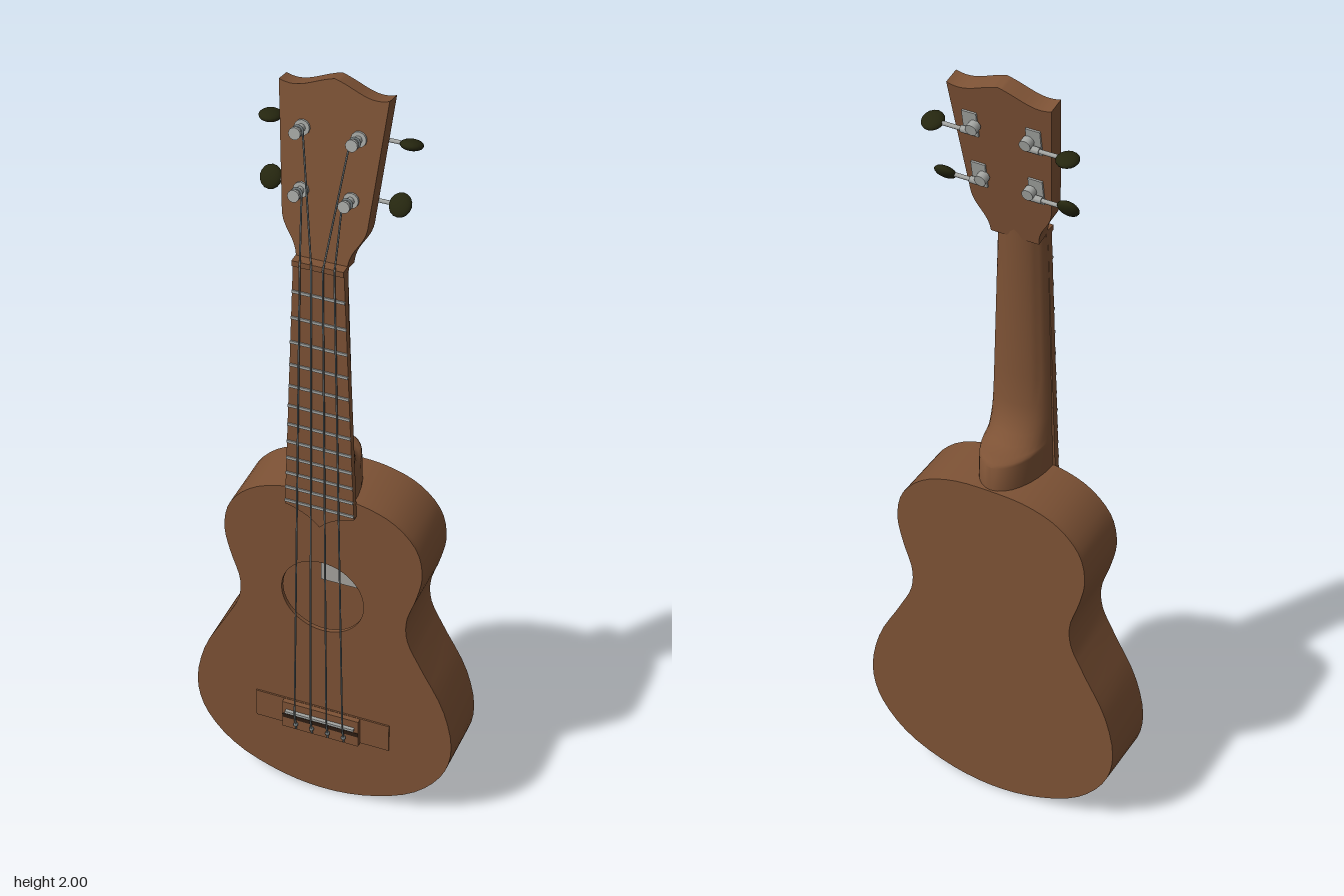
import * as THREE from 'three';
import { toCreasedNormals } from 'three/addons/utils/BufferGeometryUtils.js';

const material = (name, color) => {
  const m = new THREE.MeshStandardMaterial({ color });
  m.name = name;
  return m;
};
const V = (x, y, z) => new THREE.Vector3(x, y, z);

export function createModel() {
  const wood = material('wood', 0x7d5235);
  const metal = material('metal', 0xa3a5a2);
  const stringGrey = material('stringGrey', 0x70787a);
  const buttonBlack = material('buttonBlack', 0x25260f);
  const paper = material('paper', 0xa5a29d);
  const dark = material('darkSlot', 0x2c1c12);
  const root = new THREE.Group();
  root.name = 'ukulele';

  const add = (parent, name, geo, mat, x = 0, y = 0, z = 0) => {
    const mesh = new THREE.Mesh(geo, mat);
    mesh.name = name;
    mesh.position.set(x, y, z);
    parent.add(mesh);
    return mesh;
  };
  const box = (parent, name, w, h, d, mat, x, y, z) =>
    add(parent, name, new THREE.BoxGeometry(w, h, d), mat, x, y, z);
  const slab = (shape, depth) => toCreasedNormals(
    new THREE.ExtrudeGeometry(shape, { depth, bevelEnabled: false, curveSegments: 24 }), 0.6);
  // Straight rod between two points
  const rod = (parent, name, a, b, r, mat, sides = 6) => {
    const dir = b.clone().sub(a);
    const mesh = add(parent, name, new THREE.CylinderGeometry(r, r, dir.length(), sides), mat);
    mesh.position.copy(a).add(b).multiplyScalar(0.5);
    mesh.quaternion.setFromUnitVectors(V(0, 1, 0), dir.normalize());
    return mesh;
  };

  // Hollow body: half outline mirrored into a closed curve
  const half = [[0.12, 0.02], [0.24, 0.075], [0.313, 0.16], [0.335, 0.25], [0.312, 0.37],
    [0.25, 0.49], [0.217, 0.56], [0.213, 0.62], [0.237, 0.70], [0.25, 0.77],
    [0.235, 0.845], [0.18, 0.905], [0.1, 0.936]];
  const outline = [[0, 0.003], ...half, [0, 0.943], ...half.slice().reverse().map(([x, y]) => [-x, y])];
  const rim = new THREE.CatmullRomCurve3(outline.map(([x, y]) => V(x, y, 0)), true)
    .getPoints(96).slice(0, -1).map(p => new THREE.Vector2(p.x, p.y));
  const inner = rim.map(p => new THREE.Vector2(p.x * 0.96, 0.47 + (p.y - 0.47) * 0.97));
  const sideShape = new THREE.Shape(rim);
  sideShape.holes.push(new THREE.Path(inner));
  const topShape = new THREE.Shape(rim);
  topShape.holes.push(new THREE.Path().absarc(0, 0.63, 0.105, 0, Math.PI * 2, true));
  add(root, 'bodySides', slab(sideShape, 0.142), wood, 0, 0, -0.087);
  add(root, 'soundboard', slab(topShape, 0.01), wood, 0, 0, 0.055);
  add(root, 'bodyBack', slab(new THREE.Shape(rim), 0.01), wood, 0, 0, -0.097);
  box(root, 'paperLabel', 0.13, 0.1, 0.004, paper, 0, 0.6, -0.085);

  // Neck and heel, lofted through D-shaped sections: y, half width, front z, back z
  const sections = [[0.92, 0.08, 0.064, -0.092], [1.008, 0.077, 0.064, -0.092],
    [1.014, 0.077, 0.064, -0.085], [1.018, 0.077, 0.064, -0.06], [1.03, 0.076, 0.064, -0.03],
    [1.05, 0.076, 0.064, -0.007], [1.08, 0.075, 0.064, 0.01], [1.12, 0.074, 0.064, 0.018],
    [1.2, 0.072, 0.065, 0.02], [1.58, 0.06, 0.065, 0.02], [1.61, 0.058, 0.059, 0.017],
    [1.65, 0.058, 0.05, 0.014]];
  const N = 16;
  const pos = [], index = [];
  for (const [y, w, front, back] of sections) {
    for (let i = 0; i <= N; i++) {
      const t = Math.PI * i / N;
      pos.push(w * Math.cos(t), y, front - (front - back) * Math.sin(t));
    }
  }
  for (let s = 0; s < sections.length - 1; s++) {
    for (let i = 0; i <= N; i++) {
      const a = s * (N + 1) + i, b = s * (N + 1) + (i + 1) % (N + 1);
      const c = b + N + 1, d = a + N + 1;
      index.push(a, b, c, a, c, d);
    }
  }
  const neckGeo = new THREE.BufferGeometry();
  neckGeo.setAttribute('position', new THREE.Float32BufferAttribute(pos, 3));
  neckGeo.setIndex(index);
  add(root, 'neck', toCreasedNormals(neckGeo, 0.9), wood);

  // Fretboard with an ogee end
  const board = new THREE.Shape();
  board.moveTo(0.06, 1.578);
  board.lineTo(-0.06, 1.578);
  board.lineTo(-0.086, 0.902);
  board.quadraticCurveTo(-0.03, 0.89, 0, 0.855);
  board.quadraticCurveTo(0.03, 0.89, 0.086, 0.902);
  add(root, 'fretboard', slab(board, 0.018), wood, 0, 0, 0.064);
  box(root, 'nut', 0.122, 0.014, 0.032, wood, 0, 1.58, 0.072);
  for (let n = 1; n <= 12; n++) {
    const y = 1.578 - 1.33 * (1 - 2 ** (-n / 12));
    box(root, 'fret', 2 * (0.06 + (1.578 - y) * 0.0385), 0.007, 0.004, metal, 0, y, 0.083);
  }

  // Bridge
  box(root, 'bridgeWings', 0.35, 0.08, 0.004, wood, 0, 0.236, 0.067);
  box(root, 'bridgeBlock', 0.2, 0.08, 0.018, wood, 0, 0.235, 0.073);
  box(root, 'bridgeSlot', 0.2, 0.012, 0.002, dark, 0, 0.232, 0.0822);
  box(root, 'saddle', 0.18, 0.007, 0.012, metal, 0, 0.25, 0.085);

  // Headstock, tilted backwards
  const head = new THREE.Group();
  head.name = 'headstock';
  head.position.set(0, 1.58, 0.065);
  head.rotation.x = -0.18;
  root.add(head);
  const hs = new THREE.Shape();
  hs.moveTo(-0.06, 0);
  hs.lineTo(0.06, 0);
  hs.bezierCurveTo(0.062, 0.05, 0.095, 0.06, 0.1, 0.105);
  hs.lineTo(0.126, 0.402);
  hs.bezierCurveTo(0.08, 0.385, 0.05, 0.415, 0, 0.427);
  hs.bezierCurveTo(-0.05, 0.415, -0.08, 0.385, -0.126, 0.402);
  hs.lineTo(-0.1, 0.105);
  hs.bezierCurveTo(-0.095, 0.06, -0.062, 0.05, -0.06, 0);
  add(head, 'headPlate', slab(hs, 0.043), wood, 0, 0, -0.043);

  // Tuners: side, height, post x, button x, button turn
  const tuners = [[-1, 0.305, 0.065, 0.162, 0.1], [-1, 0.163, 0.058, 0.152, 1.2],
    [1, 0.163, 0.058, 0.15, 1.0], [1, 0.305, 0.065, 0.164, -0.15]];
  head.updateMatrix();
  const ends = tuners.map(([s, y, px, bx, turn]) => {
    const t = new THREE.Group();
    t.name = 'tuner';
    head.add(t);
    const x = s * px;
    rod(t, 'bushing', V(x, y, -0.002), V(x, y, 0.006), 0.018, metal, 12);
    rod(t, 'post', V(x, y, 0), V(x, y, 0.045), 0.009, metal, 12);
    rod(t, 'postCap', V(x, y, 0.039), V(x, y, 0.047), 0.014, metal, 12);
    add(t, 'stringWinding', new THREE.TorusGeometry(0.011, 0.003, 6, 14), stringGrey, x, y, 0.026);
    box(t, 'gearPlate', 0.035, 0.065, 0.005, metal, x + s * 0.012, y, -0.045);
    rod(t, 'gear', V(x, y, -0.046), V(x, y, -0.066), 0.014, metal, 12);
    rod(t, 'worm', V(x - s * 0.004, y - 0.012, -0.056), V(x + s * 0.03, y - 0.012, -0.056), 0.008, metal, 8);
    rod(t, 'shaft', V(x, y - 0.012, -0.056), V(s * (bx - 0.015), y - 0.012, -0.056), 0.005, metal, 8);
    const button = add(t, 'tunerButton', new THREE.SphereGeometry(1, 16, 12), buttonBlack,
      s * bx, y - 0.012, -0.056);
    button.scale.set(0.026, 0.012, 0.028);
    button.rotation.x = turn;
    return V(x - s * 0.011, y, 0.026).applyMatrix4(head.matrix);
  });

  // Strings: bridge tie, over the nut, up to the post. Inner pair goes to the upper posts
  const order = [1, 0, 3, 2];
  order.forEach((tuner, i) => {
    const u = i - 1.5;
    const saddle = V(u * 0.042, 0.25, 0.093), nut = V(u * 0.027, 1.58, 0.09);
    rod(root, 'string', saddle, nut, 0.0022, stringGrey);
    rod(root, 'stringHead', nut, ends[tuner], 0.0022, stringGrey);
    rod(root, 'stringTie', saddle, V(saddle.x, 0.2, 0.084), 0.0025, stringGrey);
    add(root, 'stringKnot', new THREE.SphereGeometry(0.006, 8, 6), stringGrey, saddle.x, 0.215, 0.086);
  });
  return root;
}
